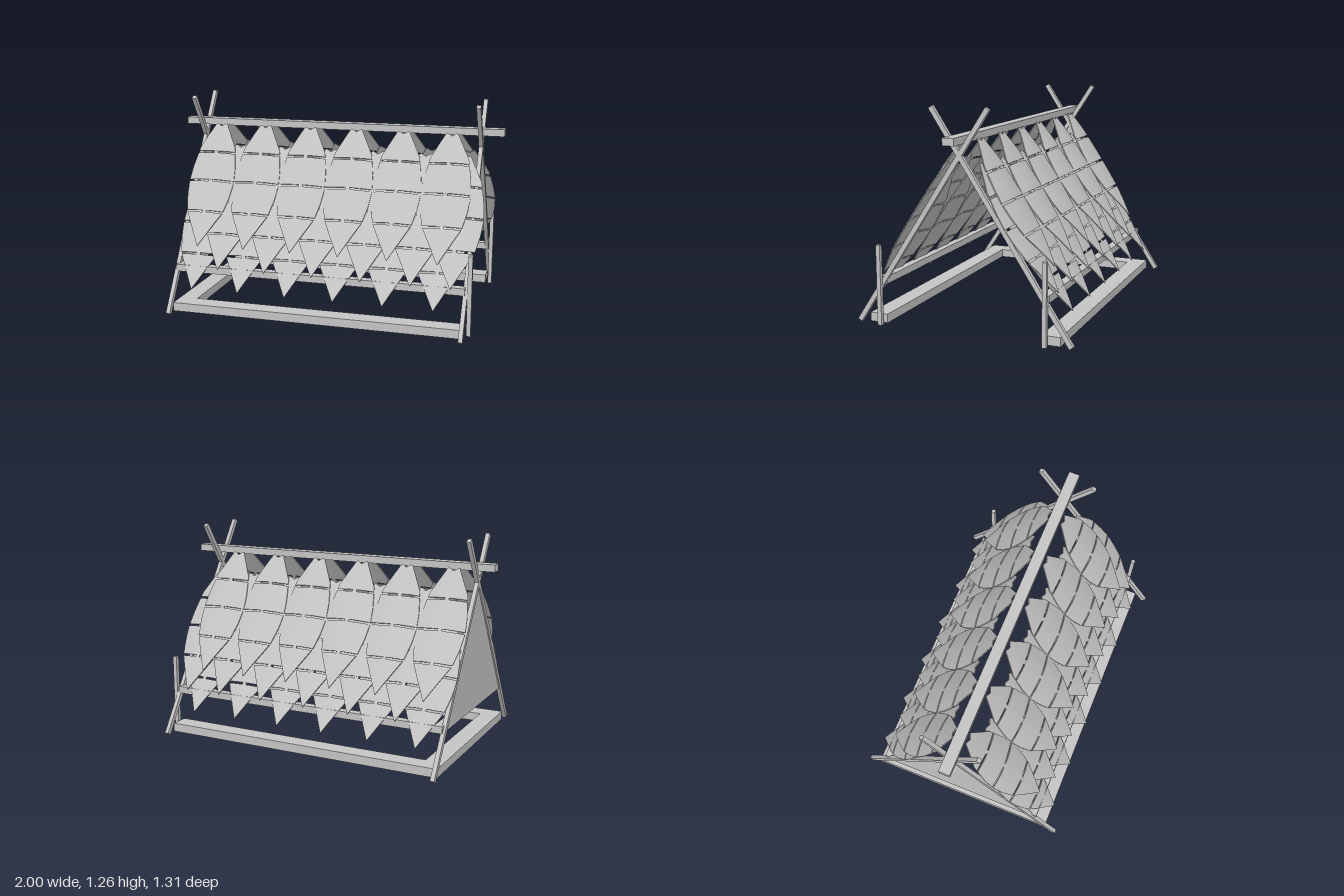
import * as THREE from 'three';

const TILT = Math.atan(0.652); // lean of the roof from vertical

// half width of a leaf tile at distance v down from its top
const OUTLINE = [[0, 0.035], [0.16, 0.115], [0.29, 0.138], [0.385, 0.146], [0.48, 0.138], [0.588, 0.115], [0.81, 0.001]];
function halfWidth(v) {
  for (let i = 1; i < OUTLINE.length; i++) {
    const [v0, w0] = OUTLINE[i - 1], [v1, w1] = OUTLINE[i];
    if (v <= v1) return w0 + (w1 - w0) * Math.max(0, v - v0) / (v1 - v0);
  }
  return 0.001;
}

// one curved strip of a leaf tile, bent from a box
function stripGeometry(v0, v1) {
  const geo = new THREE.BoxGeometry(2, 1, 1, 8, 6, 1);
  const p = geo.attributes.position;
  for (let i = 0; i < p.count; i++) {
    const u = p.getX(i);
    let v = v0 + (0.5 - p.getY(i)) * (v1 - v0);
    const x = u * halfWidth(v);
    const bow = -0.018 * (x / 0.146) ** 2;
    if (v === 0) v = 0.018 * (1 - Math.min(1, Math.abs(u) / 0.75)); // notched top
    p.setXYZ(i, x, -v, bow + p.getZ(i) * 0.006);
  }
  geo.computeVertexNormals();
  return geo;
}

export function createModel() {
  const model = new THREE.Group();
  model.name = 'tiledTent';
  const grey = new THREE.MeshStandardMaterial({ color: 0xc4c4c4 });
  grey.name = 'light grey';

  function add(parent, name, geo, x = 0, y = 0, z = 0) {
    const mesh = new THREE.Mesh(geo, grey);
    mesh.name = name;
    mesh.position.set(x, y, z);
    parent.add(mesh);
    return mesh;
  }
  const box = (name, w, h, d, x, y, z) => add(model, name, new THREE.BoxGeometry(w, h, d), x, y, z);

  // ridge beam
  box('ridgeBeam', 2, 0.042, 0.068, 0, 1.09, 0);

  // crossed poles at both ends
  for (const x of [-0.89, 0.862]) {
    for (const s of [1, -1]) {
      const pole = box('crossedPole', 0.025, 1.487, 0.028, x, 0.634, s * 0.239);
      pole.rotation.x = -s * TILT;
    }
  }

  // ground frame and middle frame, open at the entrance end
  const frame = (name, y, h, outer, width) => {
    for (const s of [1, -1]) box(name + 'Side', 1.75, h, width, -0.014, y, s * (outer - width / 2));
    box(name + 'End', width, h, 2 * (outer - width), -0.889 + width / 2, y, 0);
  };
  frame('groundFrame', 0.035, 0.052, 0.58, 0.11);
  frame('middleFrame', 0.262, 0.042, 0.515, 0.05);

  // entrance posts
  for (const s of [1, -1]) box('entrancePost', 0.025, 0.468, 0.025, 0.887, 0.237, s * 0.5);

  // closed triangular end wall
  const tri = new THREE.Shape([[-0.49, 0.245], [0.49, 0.245], [0, 0.995]].map(([a, b]) => new THREE.Vector2(a, b)));
  const wall = add(model, 'endWall', new THREE.ExtrudeGeometry(tri, { depth: 0.008, bevelEnabled: false }), -0.894, 0, 0);
  wall.rotation.y = Math.PI / 2;

  // leaf tiles: four strips joined by small tabs
  const breaks = [0, 0.194, 0.385, 0.588, 0.81];
  const gap = 0.006;
  const strips = [0, 1, 2, 3].map(i =>
    stripGeometry(breaks[i] + (i ? gap : 0), breaks[i + 1] - (i < 3 ? gap : 0)));
  const tabGeo = new THREE.BoxGeometry(0.025, 0.016, 0.005);

  // three overlapping courses on each slope: [height, depth, first x, last x]
  const courses = [[1.078, 0.042, -0.762, 0.695], [0.958, 0.094, -0.615, 0.78], [0.84, 0.148, -0.762, 0.695]];
  for (const s of [1, -1]) {
    const slope = new THREE.Group();
    slope.name = s > 0 ? 'frontRoof' : 'backRoof';
    slope.rotation.y = s > 0 ? 0 : Math.PI;
    model.add(slope);
    for (const [y, z, first, last] of courses) {
      for (let i = 0; i < 6; i++) {
        const tile = new THREE.Group();
        tile.name = 'leafTile';
        tile.position.set(s * Math.min(first + i * 0.2914, last), y, z);
        tile.rotation.x = -TILT;
        slope.add(tile);
        strips.forEach(g => add(tile, 'tileStrip', g));
        for (const v of breaks.slice(1, 4)) add(tile, 'tileTab', tabGeo, 0, -v, 0);
      }
    }
  }
  return model;
}
